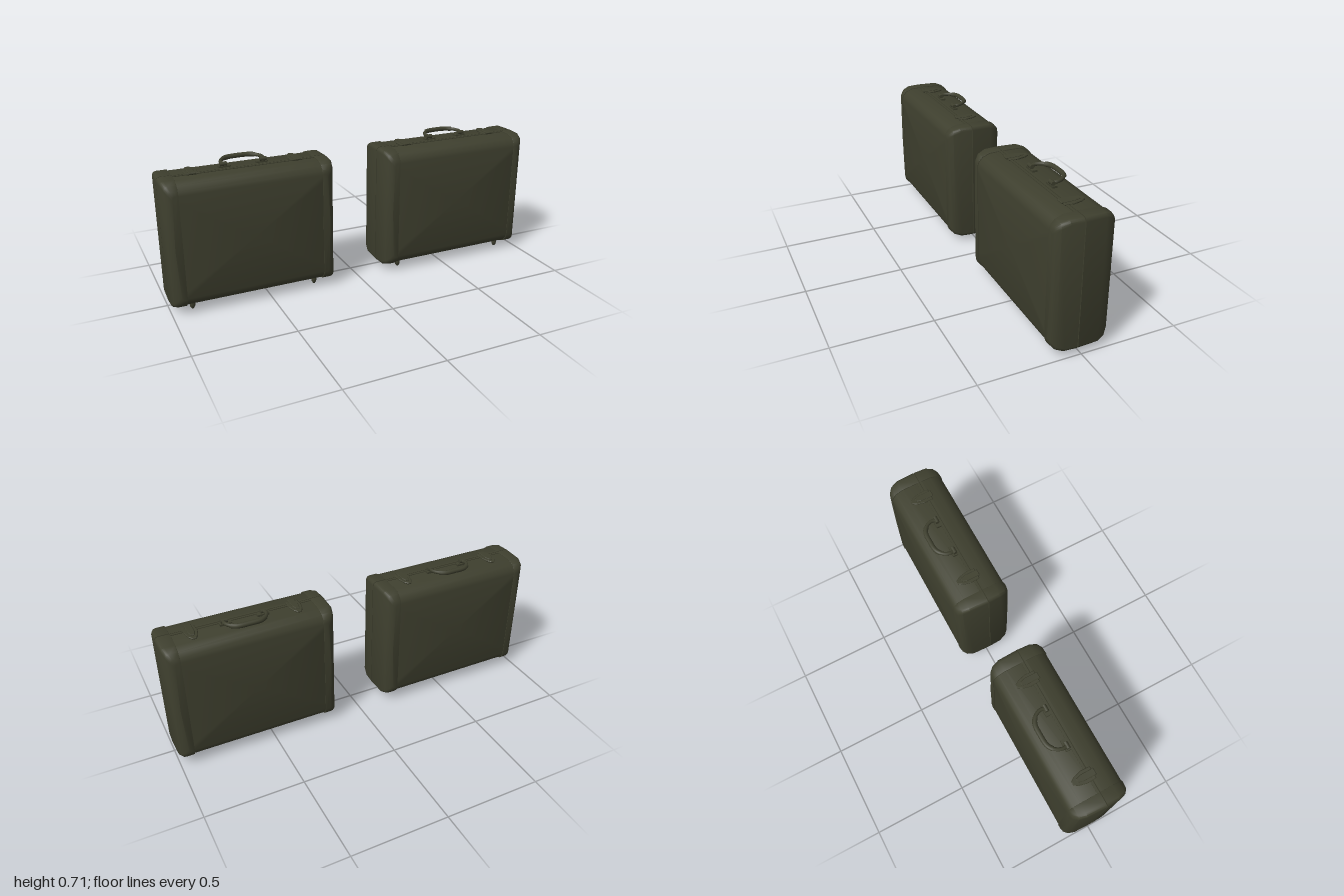
import * as THREE from 'three';
import { toCreasedNormals } from 'three/addons/utils/BufferGeometryUtils.js';

const olive = new THREE.MeshStandardMaterial({ color: 0x3e3f2e });
olive.name = 'dark olive';

function add(parent, name, geometry, x = 0, y = 0, z = 0) {
  const mesh = new THREE.Mesh(geometry, olive);
  mesh.name = name;
  mesh.position.set(x, y, z);
  parent.add(mesh);
  return mesh;
}

// Rounded rectangle, counter-clockwise; left and right corners have their own radius
function ring(x0, x1, h, rLeft, rRight) {
  const pts = [];
  const corners = [[x1, -h, rRight, -1], [x1, h, rRight, 0], [x0, h, rLeft, 1], [x0, -h, rLeft, 2]];
  for (const [x, y, r, q] of corners) {
    const cx = x - Math.sign(x - (x0 + x1) / 2) * r, cy = y - Math.sign(y) * r;
    for (let k = 0; k <= 3; k++) {
      const a = (q + k / 3) * Math.PI / 2;
      pts.push([cx + r * Math.cos(a), cy + r * Math.sin(a)]);
    }
  }
  return pts;
}

// Tray with softened outer edges, from the seam at z = 0 to the face at z = depth
function trayGeometry(depth, x0, x1, h, insetLeft) {
  const rows = [[0, 0, 0], [depth - 0.063, 0.003, 0.002], [depth - 0.026, 0.013, 0.016],
    [depth - 0.006, 0.030, 0.038], [depth, 0.046, 0.058]];
  const pos = [], idx = [], n = 16;
  for (const [z, ix, iy] of rows) {
    const pts = ring(x0 + (insetLeft ? ix : 0), x1 - ix, h - iy, insetLeft ? 0.02 : 0.001, 0.02);
    for (const [x, y] of pts) pos.push(x, y, z);
  }
  const mid = (x0 + x1) / 2, seam = pos.length / 3, face = seam + 1;
  pos.push(mid, 0, 0, mid, 0, depth);
  for (let j = 0; j < n; j++) {
    const k = (j + 1) % n, last = (rows.length - 1) * n;
    for (let i = 0; i < rows.length - 1; i++) {
      const a = i * n + j, b = i * n + k;
      idx.push(a, b, b + n, a, b + n, a + n);
    }
    idx.push(seam, k, j, face, last + j, last + k);
  }
  const g = new THREE.BufferGeometry();
  g.setAttribute('position', new THREE.Float32BufferAttribute(pos, 3));
  g.setIndex(idx);
  return toCreasedNormals(g, 0.6);
}

// One half of the case: panel body plus a raised cap at each end
function half(name, depth) {
  const g = new THREE.Group();
  g.name = name;
  add(g, 'panelBody', trayGeometry(depth, -0.424, 0.424, 0.32, true), 0, 0, 0.0005);
  const cap = trayGeometry(depth + 0.003, 0.355, 0.429, 0.325, false);
  add(g, 'endCapLeft', cap);
  add(g, 'endCapRight', cap).rotation.z = Math.PI;
  // Slim rim beside the seam
  for (const s of [-1, 1]) add(g, 'seamRim', new THREE.BoxGeometry(0.72, 0.004, 0.012), 0, s * 0.321, 0.006);
  return g;
}

// Flat plate in the xz plane, thickened upward
function plate(points, height) {
  const shape = new THREE.Shape(points.map(([x, z]) => new THREE.Vector2(x, -z)));
  const g = new THREE.ExtrudeGeometry(shape, {
    depth: height, bevelEnabled: true, bevelSize: 0.003, bevelThickness: 0.003, bevelSegments: 1
  });
  return g.rotateX(-Math.PI / 2);
}

function buildCase() {
  const g = new THREE.Group();
  const front = half('frontHalf', 0.124);
  front.position.set(0, 0.353, 0.0215);
  const back = half('backHalf', 0.161);
  back.rotation.y = Math.PI;
  back.position.set(0, 0.353, 0.0175);
  g.add(front, back);

  // Latches: tapered plate with a raised tongue
  const latch = plate([[-0.028, 0.036], [0.028, 0.036], [0.03, -0.01], [0.02, -0.05],
    [0.008, -0.068], [-0.008, -0.068], [-0.02, -0.05], [-0.03, -0.01]], 0.004);
  const tongue = plate([[-0.014, 0.045], [0.014, 0.045], [0.014, -0.02], [0.007, -0.045],
    [-0.007, -0.045], [-0.014, -0.02]], 0.004);
  for (const s of [-1, 1]) {
    add(g, 'latchPlate', latch, s * 0.262, 0.674, 0);
    add(g, 'latchTongue', tongue, s * 0.262, 0.679, 0);
  }

  // Handle folded back, with its mounts
  const curve = new THREE.CatmullRomCurve3([
    [-0.1, 0.69, -0.006], [-0.105, 0.694, -0.03], [-0.092, 0.696, -0.062], [-0.06, 0.697, -0.087],
    [0, 0.698, -0.092], [0.06, 0.697, -0.087], [0.092, 0.696, -0.062], [0.105, 0.694, -0.03], [0.1, 0.69, -0.006]
  ].map((p) => new THREE.Vector3(...p)));
  add(g, 'handle', new THREE.TubeGeometry(curve, 36, 0.0095, 8));
  const grip = new THREE.CatmullRomCurve3(curve.getPoints(24).slice(7, 18));
  add(g, 'handleGrip', new THREE.TubeGeometry(grip, 16, 0.0125, 10));
  for (const s of [-1, 1]) {
    add(g, 'handleMount', new THREE.BoxGeometry(0.06, 0.01, 0.026), s * 0.094, 0.678, -0.009);
    add(g, 'handlePivot', new THREE.CylinderGeometry(0.011, 0.011, 0.034, 10).rotateZ(Math.PI / 2),
      s * 0.1, 0.692, -0.006);
  }

  // Tapered feet and bottom hinge plates
  const foot = new THREE.LatheGeometry([[0, 0], [0.006, 0.002], [0.012, 0.012], [0.014, 0.024], [0.014, 0.042]]
    .map(([x, y]) => new THREE.Vector2(x, y)), 10);
  for (const s of [-1, 1]) {
    for (const z of [0.08, -0.057]) add(g, 'foot', foot, s * 0.322, 0, z);
    add(g, 'hingePlate', new THREE.BoxGeometry(0.07, 0.005, 0.05), s * 0.25, 0.0305, 0.02);
  }
  return g;
}

export function createModel() {
  const model = new THREE.Group();
  model.name = 'pairOfBriefcases';
  for (const s of [-1, 1]) {
    const c = buildCase();
    c.name = s > 0 ? 'leftCase' : 'rightCase';
    c.position.x = s * 0.571;
    model.add(c);
  }
  return model;
}
